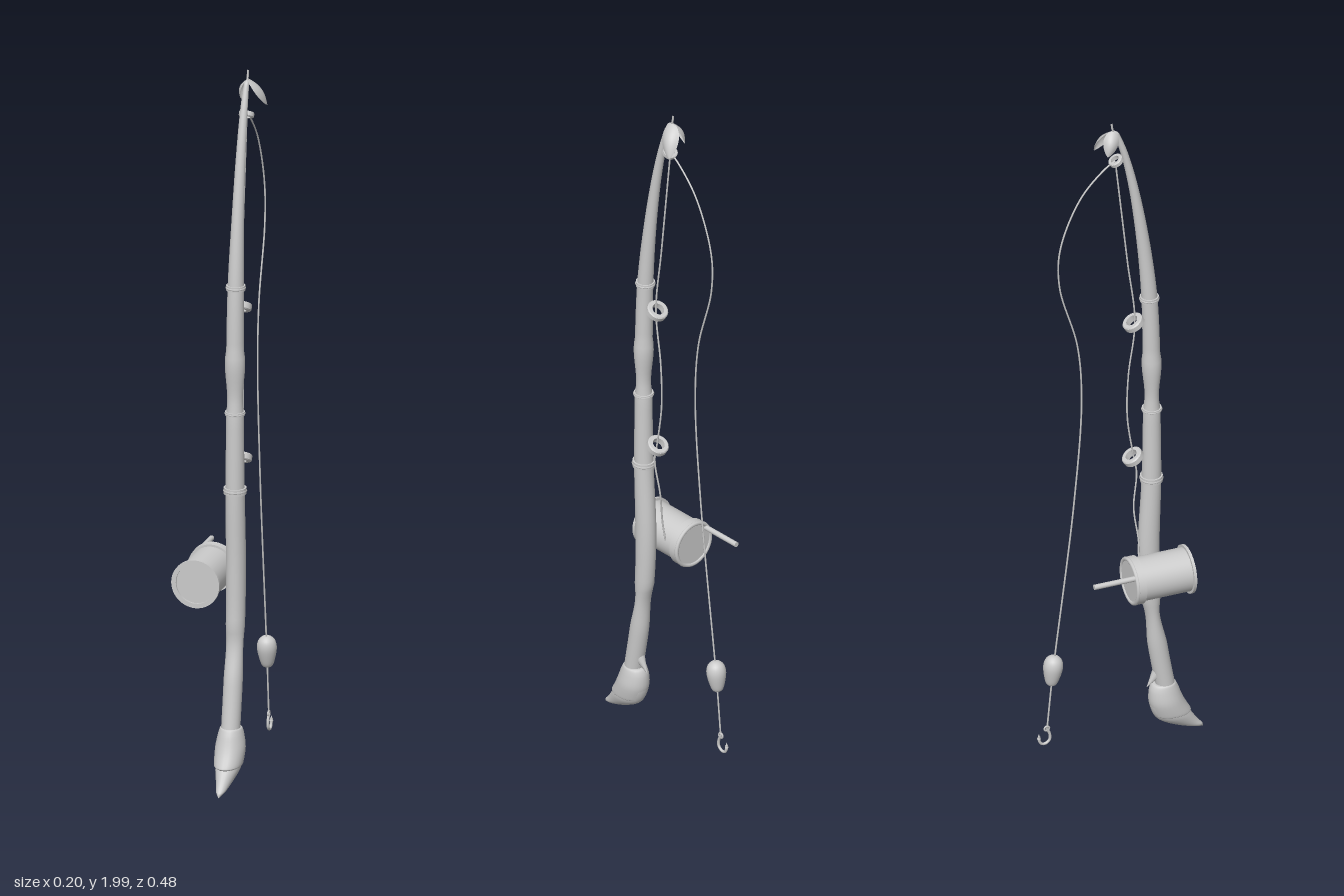
import * as THREE from 'three';

const X = 0.055; // rod centre line
const mat = new THREE.MeshStandardMaterial({ color: 0xcccccc, roughness: 0.8 });
const thin = new THREE.MeshStandardMaterial({ color: 0xcccccc, roughness: 0.8, side: THREE.DoubleSide });

// Smooth loft through level elliptical sections [y, z, rx, rz], listed upwards
function loft(sections, rings, sides = 24) {
  const centre = new THREE.CatmullRomCurve3(sections.map(s => new THREE.Vector3(0, s[0], s[1])));
  const radius = new THREE.CatmullRomCurve3(sections.map(s => new THREE.Vector3(s[2], s[3], 0)));
  const pos = [], index = [];
  for (let i = 0; i <= rings; i++) {
    const c = centre.getPoint(i / rings), r = radius.getPoint(i / rings);
    for (let j = 0; j < sides; j++) {
      const a = j / sides * Math.PI * 2;
      pos.push(X + Math.max(r.x, 0) * Math.cos(a), c.y, c.z + Math.max(r.y, 0) * Math.sin(a));
      if (i === rings) continue;
      const p = i * sides + j, q = i * sides + (j + 1) % sides;
      index.push(p, p + sides, q, q, p + sides, q + sides);
    }
  }
  const g = new THREE.BufferGeometry();
  g.setAttribute('position', new THREE.Float32BufferAttribute(pos, 3));
  g.setIndex(index);
  g.computeVertexNormals();
  return g;
}

// Round wire through points [x, y, z]
function wire(points, r, segments, sides = 6) {
  const curve = new THREE.CatmullRomCurve3(points.map(p => new THREE.Vector3(...p)));
  return new THREE.TubeGeometry(curve, segments, r, sides);
}

// Lathe with crisp edges: every profile segment is its own band
function turned(profile, sides = 32) {
  const pts = profile.map(p => new THREE.Vector2(...p));
  const group = new THREE.Group();
  for (let i = 0; i + 1 < pts.length; i++) {
    group.add(new THREE.Mesh(new THREE.LatheGeometry([pts[i], pts[i + 1]], sides), thin));
  }
  return group;
}

// Cupped leaf hanging down from its stalk
function leafGeometry(length, width) {
  const g = new THREE.PlaneGeometry(1, 1, 10, 12);
  const p = g.attributes.position;
  for (let i = 0; i < p.count; i++) {
    const u = p.getX(i) * 2, t = 0.5 - p.getY(i);
    const w = width * Math.pow(Math.sin(Math.PI * Math.pow(t, 0.8)), 0.7) || 0;
    p.setXYZ(i, 0.014 * Math.sin(Math.PI * t) * (1 - u * u), -t * length, u * w / 2);
  }
  g.computeVertexNormals();
  return g;
}

export function createModel() {
  const model = new THREE.Group();
  const add = (name, geometry, x = 0, y = 0, z = 0, material = mat) => {
    const m = new THREE.Mesh(geometry, material);
    m.name = name;
    m.position.set(x, y, z);
    model.add(m);
    return m;
  };

  // Curved, tapering rod
  add('rod', loft([
    [0.16, 0.132, 0.026, 0.027], [0.3, 0.108, 0.026, 0.027], [0.45, 0.088, 0.026, 0.027],
    [0.62, 0.082, 0.027, 0.03], [0.84, 0.09, 0.026, 0.027], [1.06, 0.091, 0.024, 0.024],
    [1.24, 0.09, 0.024, 0.024], [1.42, 0.084, 0.022, 0.022], [1.6, 0.066, 0.017, 0.018],
    [1.78, 0.038, 0.013, 0.013], [1.9, 0.01, 0.01, 0.01], [1.965, -0.013, 0.007, 0.008],
    [1.975, -0.018, 0, 0]], 100));
  add('tipTwig', wire([[X, 1.95, -0.01], [X, 1.975, -0.022], [X, 2, -0.026]], 0.003, 8));

  // Raised joints on the rod
  for (const [y, z, r, h] of [[0.84, 0.09, 0.027, 0.018], [1.06, 0.091, 0.023, 0.01], [1.415, 0.084, 0.022, 0.014]]) {
    add('joint', new THREE.CapsuleGeometry(r + 0.006, 0.001, 4, 28).scale(1, h / (2 * r + 0.012), 1), X, y, z);
    add('jointBand', new THREE.CylinderGeometry(r + 0.004, r + 0.004, h, 28), X, y, z);
  }

  // Pointed root at the foot, with an overlapping husk and a thorn
  add('root', loft([
    [0.01, 0.24, 0, 0], [0.022, 0.218, 0.012, 0.02], [0.04, 0.187, 0.021, 0.036],
    [0.07, 0.153, 0.033, 0.05], [0.11, 0.134, 0.038, 0.048], [0.155, 0.127, 0.034, 0.041],
    [0.177, 0.126, 0.028, 0.031], [0.178, 0.128, 0, 0]], 40));
  add('rootHusk', loft([
    [0.075, 0.152, 0.031, 0.048], [0.08, 0.15, 0.038, 0.053], [0.12, 0.133, 0.041, 0.049],
    [0.16, 0.126, 0.035, 0.041], [0.178, 0.126, 0.029, 0.032], [0.179, 0.127, 0.02, 0.02]], 24));
  const thorn = add('thorn', new THREE.ConeGeometry(0.016, 0.055, 12), X, 0.193, 0.092);
  thorn.rotation.x = -2.5;

  // Reel: drum with a thin front lip, a thick back flange and a crank
  const reel = turned([
    [0, -0.01], [0.067, -0.01], [0.067, 0.015], [0.061, 0.015], [0.061, 0.152],
    [0.068, 0.152], [0.068, 0.16], [0.055, 0.16], [0.055, 0.154], [0, 0.154]], 40);
  reel.name = 'reel';
  reel.rotation.x = Math.PI / 2;
  reel.position.set(-0.036, 0.585, 0);
  model.add(reel);
  add('reelBackRim', new THREE.TorusGeometry(0.062, 0.006, 8, 40), -0.036, 0.585, -0.008);
  add('crank', new THREE.CylinderGeometry(0.0075, 0.0075, 0.13, 12), -0.081, 0.62, -0.066).rotation.x = Math.PI / 2;

  // Tilted line guides behind the rod
  for (const [y, z, s] of [[0.918, 0.036, 1], [1.347, 0.038, 1], [1.877, -0.013, 0.7]]) {
    const guide = turned([
      [0.017, -0.01], [0.027, -0.01], [0.03, -0.007], [0.03, 0.007],
      [0.027, 0.01], [0.017, 0.01], [0.017, -0.01]], 24);
    guide.name = 'lineGuide';
    guide.position.set(X, y, z);
    guide.rotation.x = -0.55;
    guide.scale.setScalar(s);
    model.add(guide);
  }

  // Line from the reel through the guides, then hanging free
  add('reelLine', wire([
    [0.022, 0.6, 0.04], [0.03, 0.66, 0.043], [0.046, 0.76, 0.035], [X, 0.865, 0.047],
    [X, 0.92, 0.038], [X, 1.05, 0.02], [X, 1.18, 0.023], [X, 1.347, 0.042],
    [X, 1.55, 0.02], [X, 1.877, -0.015]], 0.0025, 90));
  add('hangingLine', wire([
    [X, 1.877, -0.015], [X, 1.86, -0.042], [X, 1.78, -0.115], [X, 1.63, -0.175],
    [X, 1.51, -0.177], [X, 1.31, -0.125], [X, 1.13, -0.113], [X, 0.81, -0.135],
    [X, 0.34, -0.19], [X, 0.25, -0.2], [X, 0.1, -0.214]], 0.0025, 110));

  // Egg-shaped float
  const float = new THREE.LatheGeometry(new THREE.SplineCurve([
    [0, -0.045], [0.013, -0.042], [0.021, -0.022], [0.027, 0.01], [0.023, 0.032],
    [0.011, 0.044], [0, 0.046]].map(p => new THREE.Vector2(...p))).getPoints(24), 24);
  add('float', float, X, 0.29, -0.197).rotation.x = 0.1;

  // Hook with eye and barb
  add('hook', wire([
    [X, 0.108, -0.214], [X, 0.09, -0.206], [X, 0.072, -0.206], [X, 0.062, -0.217],
    [X, 0.063, -0.229], [X, 0.074, -0.236], [X, 0.088, -0.237]], 0.004, 30, 8));
  add('hookEye', new THREE.TorusGeometry(0.007, 0.003, 6, 14), X, 0.108, -0.214).rotation.y = Math.PI / 2;
  add('hookBarb', new THREE.ConeGeometry(0.0055, 0.016, 8), X, 0.088, -0.237);

  // Two cupped leaves at the tip
  for (const [side, length, width, turn] of [[-1, 0.075, 0.042, 0.35], [1, 0.1, 0.052, 0.5]]) {
    const leaf = add('leaf', leafGeometry(length, width), X, 1.975, -0.02, thin);
    leaf.rotation.set(0.25, side * 0.35, side * turn);
    leaf.scale.x = side;
  }
  return model;
}
